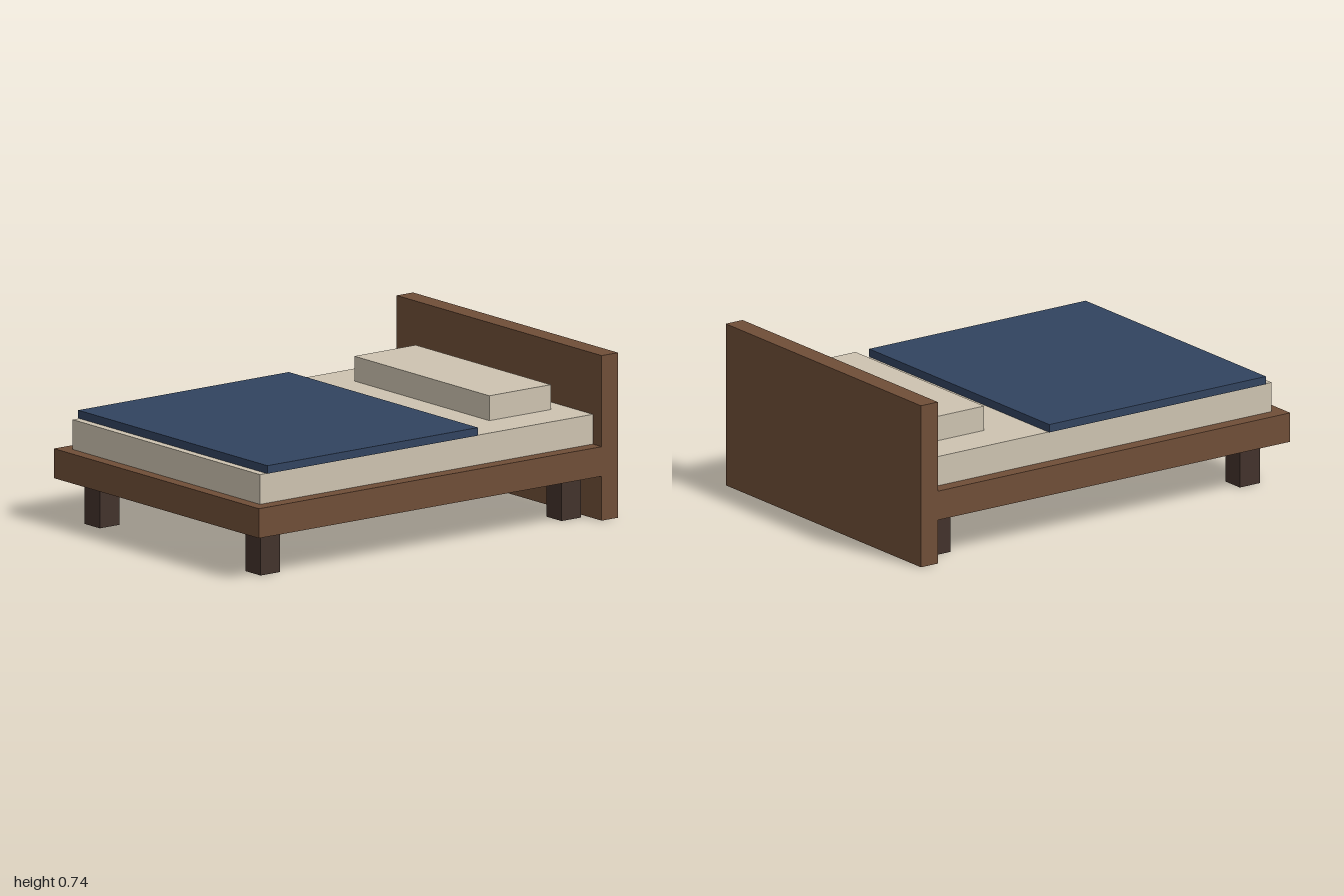
import * as THREE from 'three';

const material = (color) => new THREE.MeshStandardMaterial({ color });

export function createModel() {
  const bed = new THREE.Group();
  bed.name = 'bed';

  const wood = material(0x6f4e37);
  const darkWood = material(0x42322b);
  const linen = material(0xcdc3b0);
  const navy = material(0x31435f);

  // Box given by its extents along each axis
  const addBox = (name, mat, [x0, x1], [y0, y1], [z0, z1]) => {
    const mesh = new THREE.Mesh(new THREE.BoxGeometry(x1 - x0, y1 - y0, z1 - z0), mat);
    mesh.position.set((x0 + x1) / 2, (y0 + y1) / 2, (z0 + z1) / 2);
    mesh.name = name;
    bed.add(mesh);
  };

  // Wooden base and headboard
  addBox('frame', wood, [-0.727, 0.727], [0.2, 0.333], [-0.909, 1]);
  addBox('headboard', wood, [-0.727, 0.727], [0, 0.743], [-1, -0.909]);

  // Bedding
  addBox('mattress', linen, [-0.664, 0.664], [0.333, 0.467], [-0.909, 0.945]);
  addBox('blanket', navy, [-0.671, 0.671], [0.467, 0.503], [-0.264, 0.909]);
  addBox('pillow', linen, [-0.479, 0.479], [0.467, 0.579], [-0.82, -0.478]);

  // Four square legs
  const half = 0.054;
  for (const [end, z] of [['front', 0.856], ['back', -0.82]]) {
    for (const [side, x] of [['Left', 0.57], ['Right', -0.57]]) {
      addBox(`${end}${side}Leg`, darkWood, [x - half, x + half], [0, 0.2], [z - half, z + half]);
    }
  }

  return bed;
}
